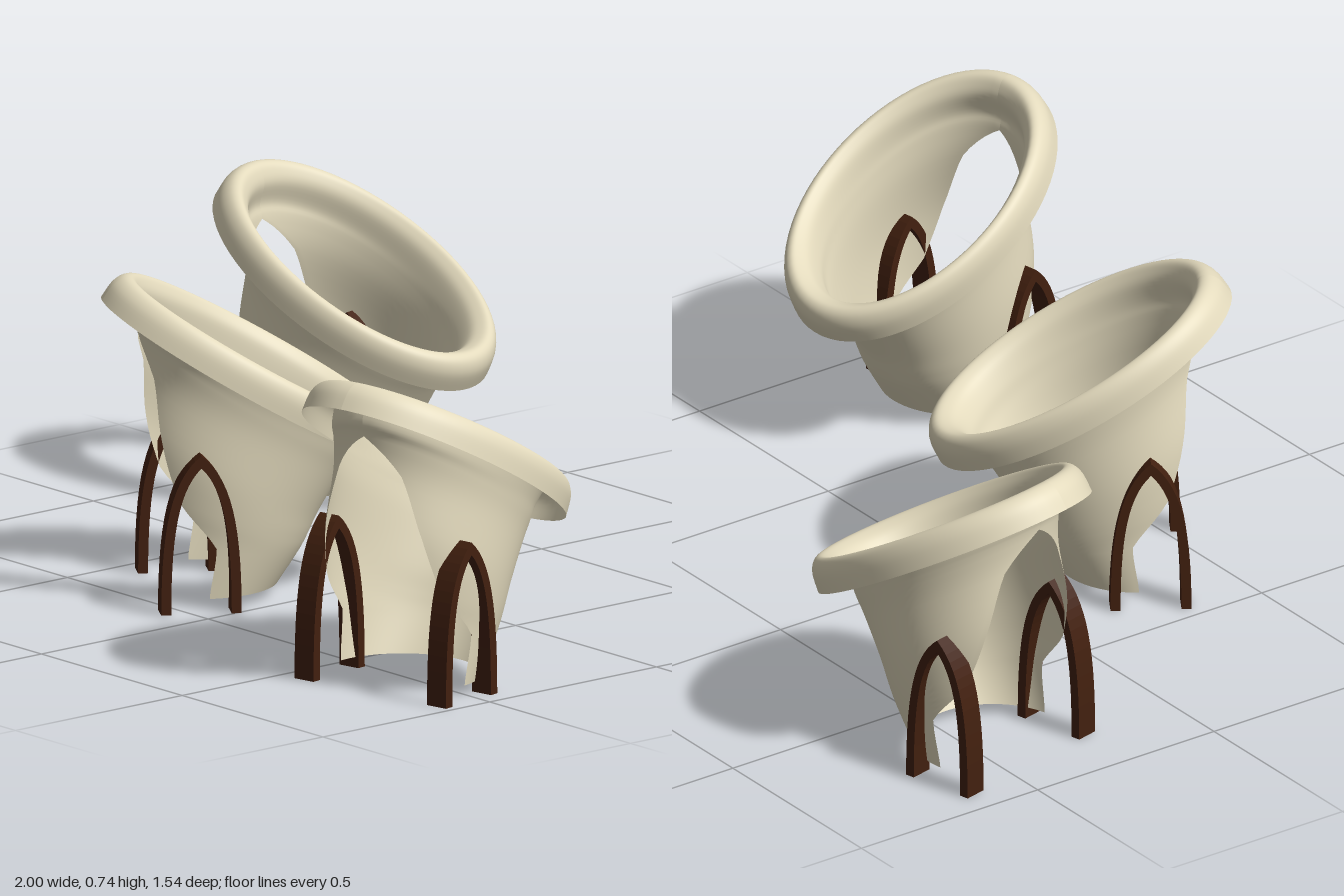
import * as THREE from 'three';

const cream = new THREE.MeshStandardMaterial({ color: 0xe3dabd, side: THREE.DoubleSide });
const brown = new THREE.MeshStandardMaterial({ color: 0x42200f });

// A level: back z, back y, front z, front y, half width, angle covered from the back.
const body = [
  [-0.06, 0.025, 0.31, 0.025, 0.183, 1.55],
  [-0.11, 0.10, 0.28, 0.18, 0.192, 1.68],
  [-0.131, 0.14, 0.285, 0.285, 0.201, 2.14],
  [-0.155, 0.19, 0.285, 0.41, 0.207, 2.38],
  [-0.205, 0.272, 0.262, 0.54, 0.206, 2.68],
  [-0.232, 0.312, 0.262, 0.613, 0.21, Math.PI],
];

// Rolled rim, in the tilted plane: height above it, half length, half width.
const TILT = Math.PI / 6;
const rim = [
  [0, 0.30, 0.215],
  [0.045, 0.312, 0.223],
  [0.068, 0.332, 0.237],
  [0.077, 0.352, 0.25],
  [0.068, 0.372, 0.265],
  [0.042, 0.386, 0.275],
  [0, 0.39, 0.278],
].map(([h, b, a]) => {
  const z = 0.008 - h * Math.sin(TILT), y = 0.498 + h * Math.cos(TILT);
  const dz = b * Math.cos(TILT), dy = b * Math.sin(TILT);
  return [z - dz, y - dy, z + dz, y + dy, a, Math.PI];
});

const levels = [...body, ...rim];

// Smooth blend between levels; the opening angle is blended linearly
function levelAt(u) {
  const last = levels.length - 1;
  const i = Math.min(Math.floor(u), last - 1), f = u - i;
  const p = [i - 1, i, i + 1, i + 2].map((k) => levels[THREE.MathUtils.clamp(k, 0, last)]);
  return p[1].map((v, c) => {
    if (c === 5) return v + (p[2][c] - v) * f;
    const m0 = (p[2][c] - p[0][c]) / 2, m1 = (p[3][c] - v) / 2;
    const f2 = f * f, f3 = f2 * f;
    return (2 * f3 - 3 * f2 + 1) * v + (f3 - 2 * f2 + f) * m0
      + (3 * f2 - 2 * f3) * p[2][c] + (f3 - f2) * m1;
  });
}

// Shell: wrap of elliptical sections, left open at the tall side
function shellGeometry() {
  const STEPS = 5, COLS = 72, rows = (levels.length - 1) * STEPS;
  const pos = [], index = [];
  for (let r = 0; r <= rows; r++) {
    const [bz, by, fz, fy, a, cover] = levelAt(r / STEPS);
    for (let c = 0; c <= COLS; c++) {
      const t = cover * (2 * c / COLS - 1);
      const k = (1 - Math.cos(t)) / 2;
      pos.push(a * Math.sin(t), by + (fy - by) * k, bz + (fz - bz) * k);
      if (r < rows && c < COLS) {
        const i = r * (COLS + 1) + c, j = i + COLS + 1;
        index.push(i, j, i + 1, i + 1, j, j + 1);
      }
    }
  }
  const g = new THREE.BufferGeometry();
  g.setAttribute('position', new THREE.Float32BufferAttribute(pos, 3));
  g.setIndex(index);
  g.computeVertexNormals();
  return g;
}

// Pointed arch strap, drawn in the z-y plane and extruded along x
function archGeometry() {
  const shape = new THREE.Shape();
  const trace = (w, top) => {
    shape.lineTo(-w, 0);
    shape.bezierCurveTo(-w, top * 0.55, -w * 0.75, top * 0.85, 0, top);
    shape.bezierCurveTo(w * 0.75, top * 0.85, w, top * 0.55, w, 0);
  };
  shape.moveTo(-0.093, 0);
  trace(0.093, 0.375);
  // return along the inner side
  trace(-0.07, 0.345);
  const g = new THREE.ExtrudeGeometry(shape, { depth: 0.056, bevelEnabled: false, curveSegments: 14 });
  g.translate(0, 0, -0.028);
  g.rotateY(Math.PI / 2);
  return g;
}

export function createModel() {
  const model = new THREE.Group();
  model.name = 'chairSet';
  const shellGeo = shellGeometry(), archGeo = archGeometry();

  // Three chairs: x, z, turn in degrees
  const places = [[-0.657, -0.492, -76.8], [-0.153, 0.241, -32.4], [0.72, 0.424, 10.6]];
  places.forEach(([x, z, turn], n) => {
    const chair = new THREE.Group();
    chair.name = `chair${n + 1}`;
    const shell = new THREE.Mesh(shellGeo, cream);
    shell.name = 'shell';
    chair.add(shell);
    for (const side of [1, -1]) {
      const arch = new THREE.Mesh(archGeo, brown);
      arch.name = side > 0 ? 'leftArchLeg' : 'rightArchLeg';
      arch.position.set(side * 0.196, 0, 0.146);
      chair.add(arch);
    }
    chair.position.set(x, 0, z);
    chair.rotation.y = THREE.MathUtils.degToRad(turn);
    model.add(chair);
  });
  return model;
}
